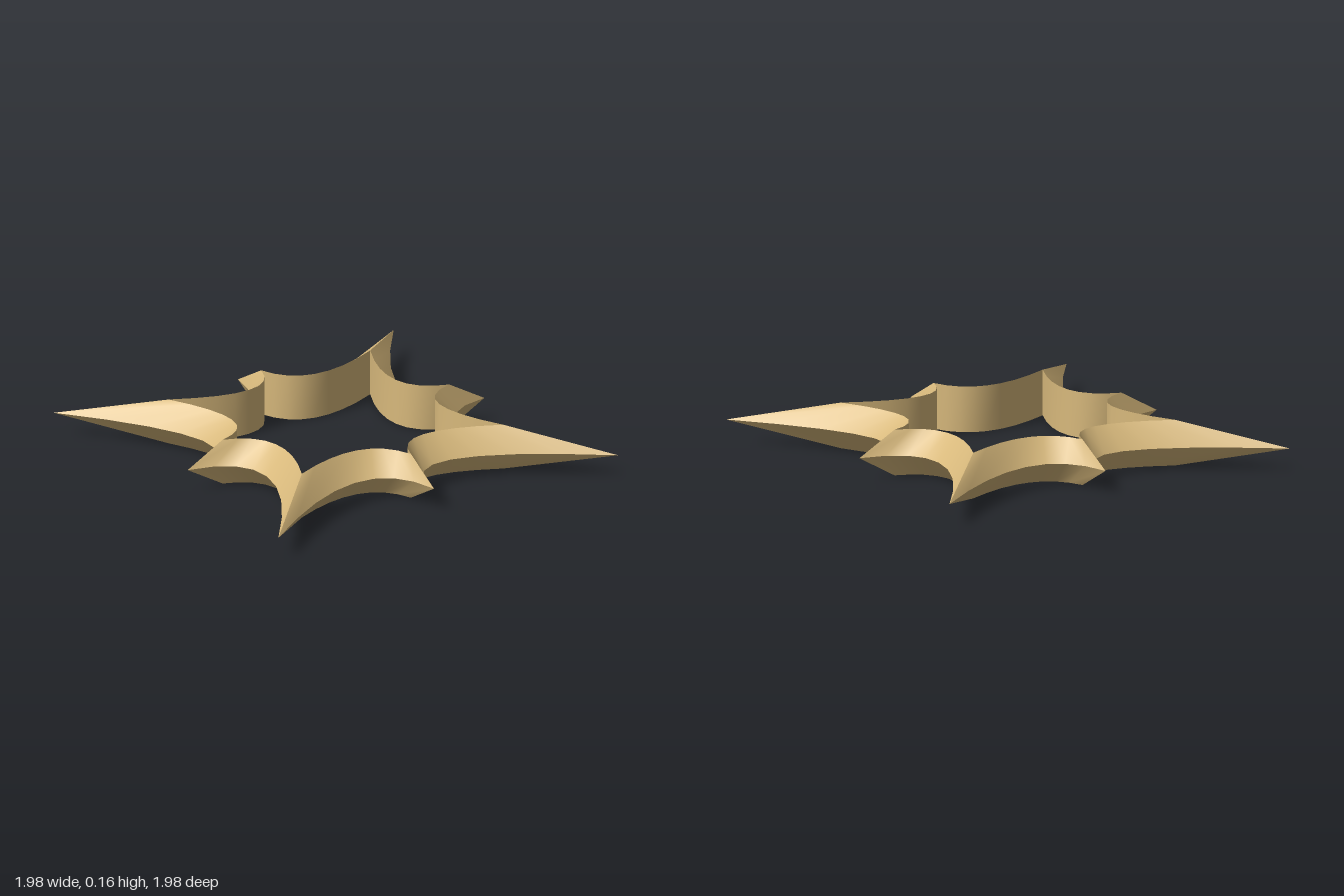
import * as THREE from 'three';

const HEIGHT = 0.162;
const SEGMENTS = 8;

// One eighth of each outline as (x, z), from a long point to a short point
const arc = (...p) => new THREE.QuadraticBezierCurve(...p.map(([x, z]) => new THREE.Vector2(x, z))).getPoints(SEGMENTS);
const outer = arc([0, 0.99], [0.09, 0.16], [0.432, 0.432]);
const inner = arc([0, 0.587], [0.12, 0.21], [0.33, 0.33]);

// The neighbouring eighth, mirrored across the diagonal
const mirrored = (points) => points.map((p) => new THREE.Vector2(p.y, p.x)).reverse();

// Smooth strip between two outlines at their own heights
function strip(lower, lowerY, upper, upperY) {
  const positions = [];
  const index = [];
  lower.forEach((p, i) => {
    const q = upper[i];
    positions.push(p.x, lowerY, p.y, q.x, upperY, q.y);
    if (i < SEGMENTS) {
      const a = i * 2;
      index.push(a, a + 2, a + 3, a, a + 3, a + 1);
    }
  });
  const geometry = new THREE.BufferGeometry();
  geometry.setAttribute('position', new THREE.Float32BufferAttribute(positions, 3));
  geometry.setIndex(index);
  geometry.computeVertexNormals();
  return geometry;
}

export function createModel() {
  const model = new THREE.Group();
  model.name = 'starFrame';
  const gold = new THREE.MeshStandardMaterial({ color: 0xd8b97c });
  gold.name = 'paleGold';

  const eighths = [[outer, inner], [mirrored(outer), mirrored(inner)]];
  for (let quarter = 0; quarter < 4; quarter++) {
    const group = new THREE.Group();
    group.name = 'starQuarter';
    group.rotation.y = quarter * Math.PI / 2;
    for (const [rim, opening] of eighths) {
      // Triangular section: two slopes meeting at the rim and an upright inner wall
      const faces = {
        upperSlope: strip(rim, HEIGHT / 2, opening, HEIGHT),
        lowerSlope: strip(opening, 0, rim, HEIGHT / 2),
        innerWall: strip(opening, HEIGHT, opening, 0),
      };
      for (const [name, geometry] of Object.entries(faces)) {
        const mesh = new THREE.Mesh(geometry, gold);
        mesh.name = name;
        group.add(mesh);
      }
    }
    model.add(group);
  }
  return model;
}
